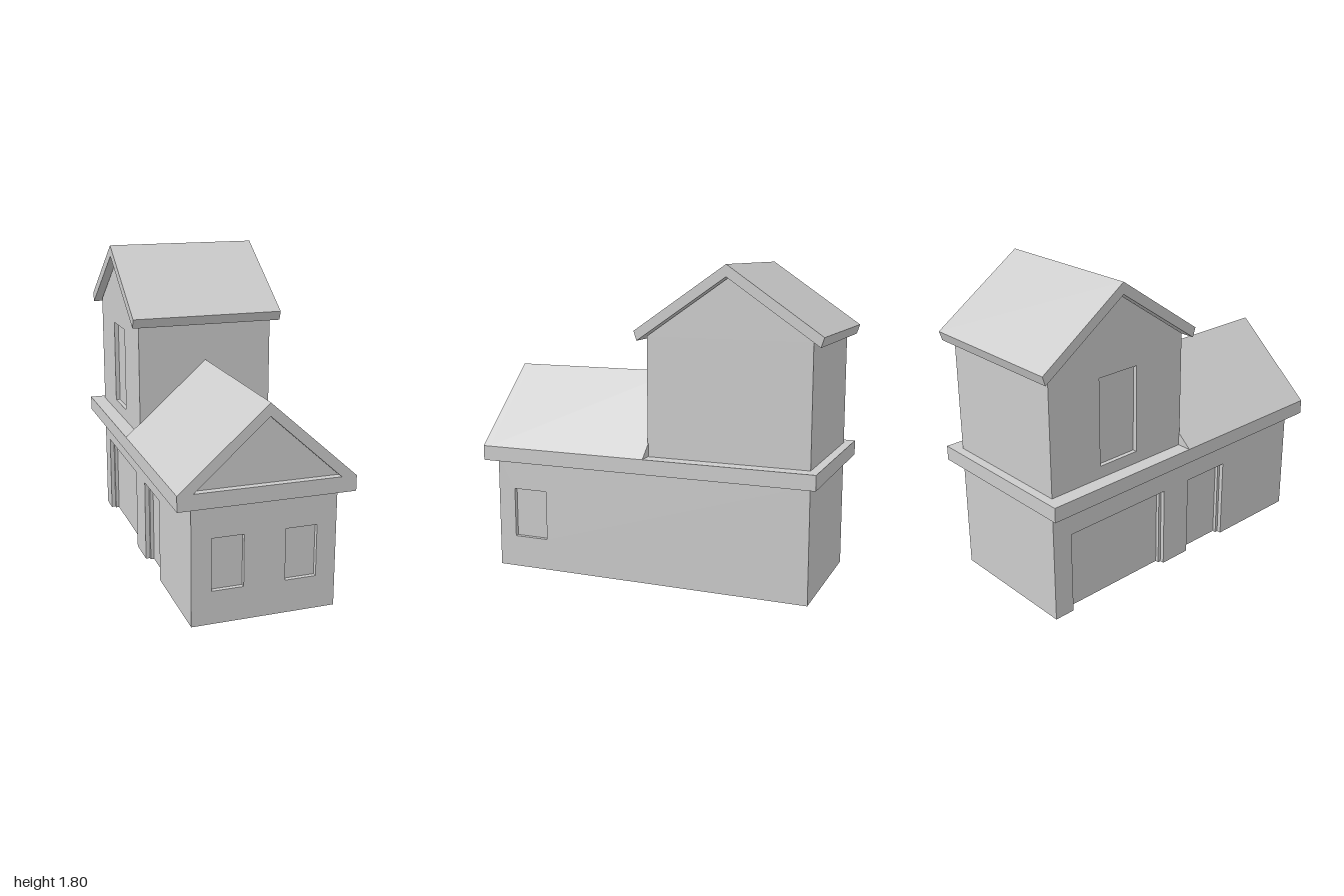
import * as THREE from 'three';

const mat = new THREE.MeshStandardMaterial({ color: 0xcccccc, side: THREE.DoubleSide, flatShading: true });

const polygon = (pts) => new THREE.Shape(pts.map(([x, y]) => new THREE.Vector2(x, y)));

function mesh(name, geometry) {
  const m = new THREE.Mesh(geometry, mat);
  m.name = name;
  return m;
}

// Recess running inward from a rectangular opening through [inset, depth] steps, closed by a panel
function recess(name, [x0, x1, y0, y1], steps, openBottom = false) {
  const loops = steps.map(([i, d]) => {
    const b = openBottom ? y0 : y0 + i;
    return [[x0 + i, b, -d], [x1 - i, b, -d], [x1 - i, y1 - i, -d], [x0 + i, y1 - i, -d]];
  });
  const pos = [];
  const quad = (a, b, c, d) => pos.push(...a, ...b, ...c, ...a, ...c, ...d);
  for (let s = 0; s + 1 < loops.length; s++) {
    const p = loops[s], q = loops[s + 1];
    for (let k = openBottom ? 1 : 0; k < 4; k++) {
      const n = (k + 1) % 4;
      quad(p[k], p[n], q[n], q[k]);
    }
  }
  quad(...loops[loops.length - 1]);
  const g = new THREE.BufferGeometry();
  g.setAttribute('position', new THREE.Float32BufferAttribute(pos, 3));
  g.computeVertexNormals();
  return mesh(name, g);
}

const WINDOW_STEPS = [[0, 0], [0, 0.025]];
const DOOR_STEPS = [[0, 0], [0, 0.025], [0.018, 0.025], [0.018, 0.045]];

// Sheet wall facing local +z, with windows cut out and recessed
function wall(name, outline, windows = []) {
  const g = new THREE.Group();
  g.name = name;
  const shape = polygon(outline);
  for (const w of windows) {
    const [a, b, c, d] = w;
    shape.holes.push(polygon([[a, c], [a, d], [b, d], [b, c]]));
    g.add(recess('window', w, WINDOW_STEPS));
  }
  g.add(mesh('wallFace', new THREE.ShapeGeometry(shape)));
  return g;
}

function place(parent, obj, x, z, turn) {
  obj.position.set(x, 0, z);
  obj.rotation.y = turn;
  parent.add(obj);
}

const rect = (x0, x1, y0, y1) => [[x0, y0], [x1, y0], [x1, y1], [x0, y1]];

export function createModel() {
  const root = new THREE.Group();
  root.name = 'house';
  const W = 0.4, F = 0.955, B = -0.935, T = -0.01, H = 0.66, Q = Math.PI / 2;

  // Ground floor walls
  const base = new THREE.Group();
  base.name = 'groundFloor';
  place(base, wall('frontWall', rect(-W, W, 0, H),
    [[-0.29, -0.115, 0.185, 0.475], [0.115, 0.29, 0.185, 0.475]]), 0, F, 0);
  place(base, wall('backWall', rect(-W, W, 0, H)), 0, B, Math.PI);
  place(base, wall('leftWall', rect(-F, -B, 0, H), [[-0.85, -0.64, 0.185, 0.475]]), W, 0, Q);

  // Door side: the openings reach the ground, so they notch the outline
  const doors = [[-0.815, -0.125, 0, 0.48], [0.07, 0.375, 0, 0.48]];
  const outline = [[B, 0]];
  for (const [a, b, c, d] of doors) outline.push([a, c], [a, d], [b, d], [b, c]);
  outline.push([F, 0], [F, H], [B, H]);
  const doorWall = wall('rightWall', outline);
  for (const d of doors) doorWall.add(recess('door', d, DOOR_STEPS, true));
  place(base, doorWall, -W, 0, -Q);
  root.add(base);

  // Overhanging slab between the floors
  const slab = mesh('eaveSlab', new THREE.BoxGeometry(0.97, 0.085, 1.985));
  slab.position.set(0, 0.6975, 0.0075);
  root.add(slab);

  // Front roof: solid prism behind a triangular rim, leaving a recessed pediment
  const E = 0.485, Y = 0.74, recessDepth = 0.04;
  const tri = [[-E, Y], [E, Y], [0, 1.17]];
  const body = mesh('frontRoof', new THREE.ExtrudeGeometry(polygon(tri),
    { depth: 1 - recessDepth - T + 0.005, bevelEnabled: false }));
  body.position.z = T - 0.005;
  const rimShape = polygon(tri);
  rimShape.holes.push(polygon([[-W, Y + 0.001], [0, 1.1], [W, Y + 0.001]]));
  const rim = mesh('pedimentRim', new THREE.ExtrudeGeometry(rimShape,
    { depth: recessDepth, bevelEnabled: false }));
  rim.position.z = 1 - recessDepth;
  root.add(body, rim);

  // Tower walls with gabled sides
  const tower = new THREE.Group();
  tower.name = 'tower';
  const R = -0.475, top = 1.41, apex = 1.73;
  const gable = (s) => [[s * B, Y], [s * T, Y], [s * T, top], [s * R, apex], [s * B, top]];
  place(tower, wall('towerFront', rect(-W, W, Y, top)), 0, T, 0);
  place(tower, wall('towerBack', rect(-W, W, Y, top)), 0, B, Math.PI);
  place(tower, wall('towerLeft', gable(-1).reverse()), W, 0, Q);
  place(tower, wall('towerRight', gable(1), [[-0.605, -0.345, 0.81, 1.31]]), -W, 0, -Q);

  // Tower roof: chevron section swept along x
  const chevron = polygon([[-0.525, 1.44], [-0.508, 1.387], [0, 1.735],
    [0.508, 1.387], [0.525, 1.44], [0, 1.8]]);
  const roof = mesh('towerRoof', new THREE.ExtrudeGeometry(chevron, { depth: 0.89, bevelEnabled: false }));
  place(tower, roof, -0.445, R, Q);
  root.add(tower);

  return root;
}
